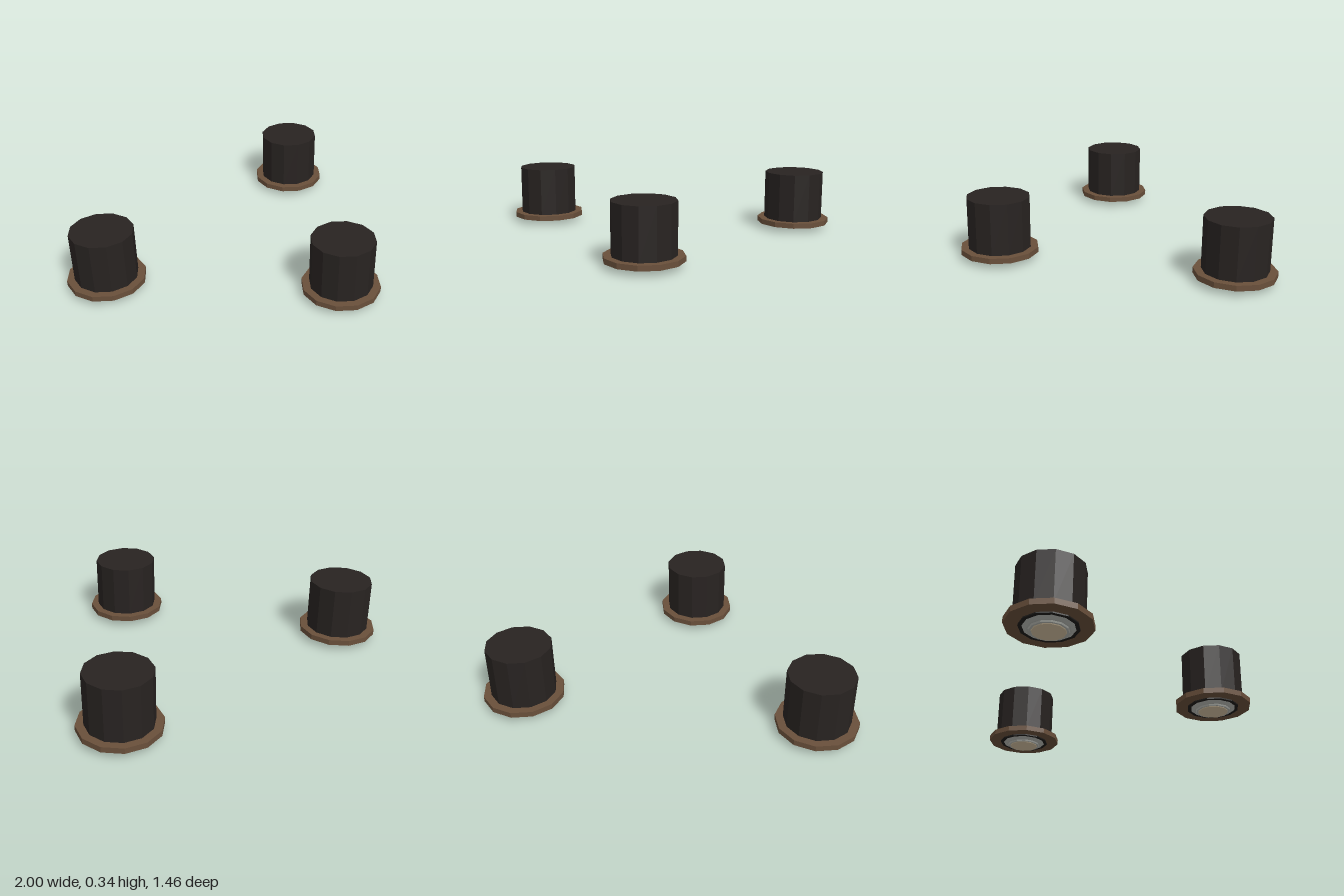
import * as THREE from 'three';

const SIDES = 12;
const paint = (color) => new THREE.MeshStandardMaterial({ color, flatShading: true });

// One cylinder or taper, placed by its bottom and top heights
function disc(name, rTop, rBottom, y0, y1, material) {
  const mesh = new THREE.Mesh(new THREE.CylinderGeometry(rTop, rBottom, y1 - y0, SIDES), material);
  mesh.position.y = (y0 + y1) / 2;
  mesh.name = name;
  return mesh;
}

export function createModel() {
  const model = new THREE.Group();
  model.name = 'recessedLights';
  const black = paint(0x282321);
  const bronze = paint(0x6a503b);
  const darkTrim = paint(0x1c1a18);
  const metal = paint(0xb4b6b0);
  const glass = paint(0xd2c0a0);

  // A triangle of three identical ceiling lights, lens downwards
  for (const [x, z] of [[-0.783, -0.513], [0.783, -0.513], [0, 0.513]]) {
    const light = new THREE.Group();
    light.name = 'light';
    light.position.set(x, 0, z);
    light.add(
      disc('can', 0.175, 0.175, 0.06, 0.345, black),
      disc('flange', 0.217, 0.217, 0.03, 0.06, bronze),
      disc('baffle', 0.147, 0.147, 0.023, 0.031, darkTrim),
      disc('reflector', 0.13, 0.108, 0.012, 0.024, metal),
      disc('lensRing', 0.1, 0.096, 0.004, 0.013, metal),
      disc('lens', 0.086, 0.083, 0, 0.005, glass),
    );
    model.add(light);
  }
  return model;
}
